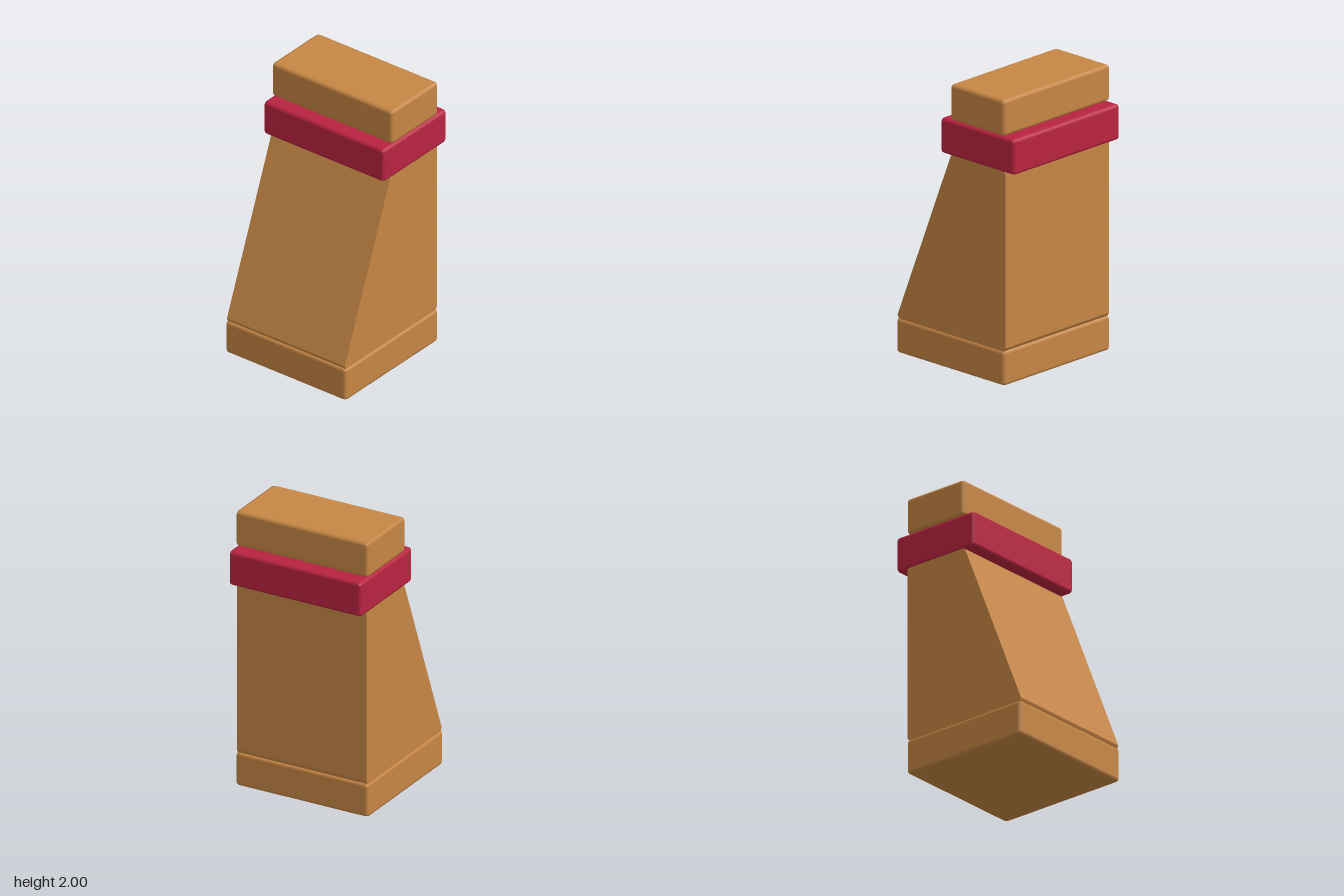
import * as THREE from 'three';
import { RoundedBoxGeometry } from 'three/addons/geometries/RoundedBoxGeometry.js';

export function createModel() {
  const group = new THREE.Group();
  group.name = 'wedgeTower';

  const tan = new THREE.MeshStandardMaterial({ color: 0xc68644 });
  tan.name = 'tan';
  const crimson = new THREE.MeshStandardMaterial({ color: 0xba2340 });
  crimson.name = 'crimson';

  // Slab with softly chamfered edges, given by its y and z extents
  function slab(name, y0, y1, z0, z1, material) {
    const geometry = new RoundedBoxGeometry(1.015, y1 - y0, z1 - z0, 1, 0.025);
    const mesh = new THREE.Mesh(geometry, material);
    mesh.name = name;
    mesh.position.set(0, (y0 + y1) / 2, (z0 + z1) / 2);
    group.add(mesh);
  }

  slab('base', 0, 0.245, -0.45, 0.54, tan);
  slab('band', 1.495, 1.745, -0.54, 0.135, crimson);
  slab('cap', 1.745, 2, -0.45, 0.045, tan);

  // Body: side profile (z, y) with a sloping front and clipped corners
  const width = 0.99;
  const profile = [
    [-0.43, 0.235], [0.52, 0.235], [0.535, 0.265], [0.05, 1.49],
    [0.03, 1.51], [-0.435, 1.51], [-0.45, 1.49], [-0.45, 0.265],
  ].map(([z, y]) => new THREE.Vector2(z, y));
  const bodyGeometry = new THREE.ExtrudeGeometry(new THREE.Shape(profile), {
    depth: width, bevelEnabled: false,
  });
  bodyGeometry.translate(0, 0, -width / 2);
  bodyGeometry.rotateY(-Math.PI / 2); // profile x becomes z
  const body = new THREE.Mesh(bodyGeometry, tan);
  body.name = 'slopedBody';
  group.add(body);

  return group;
}
